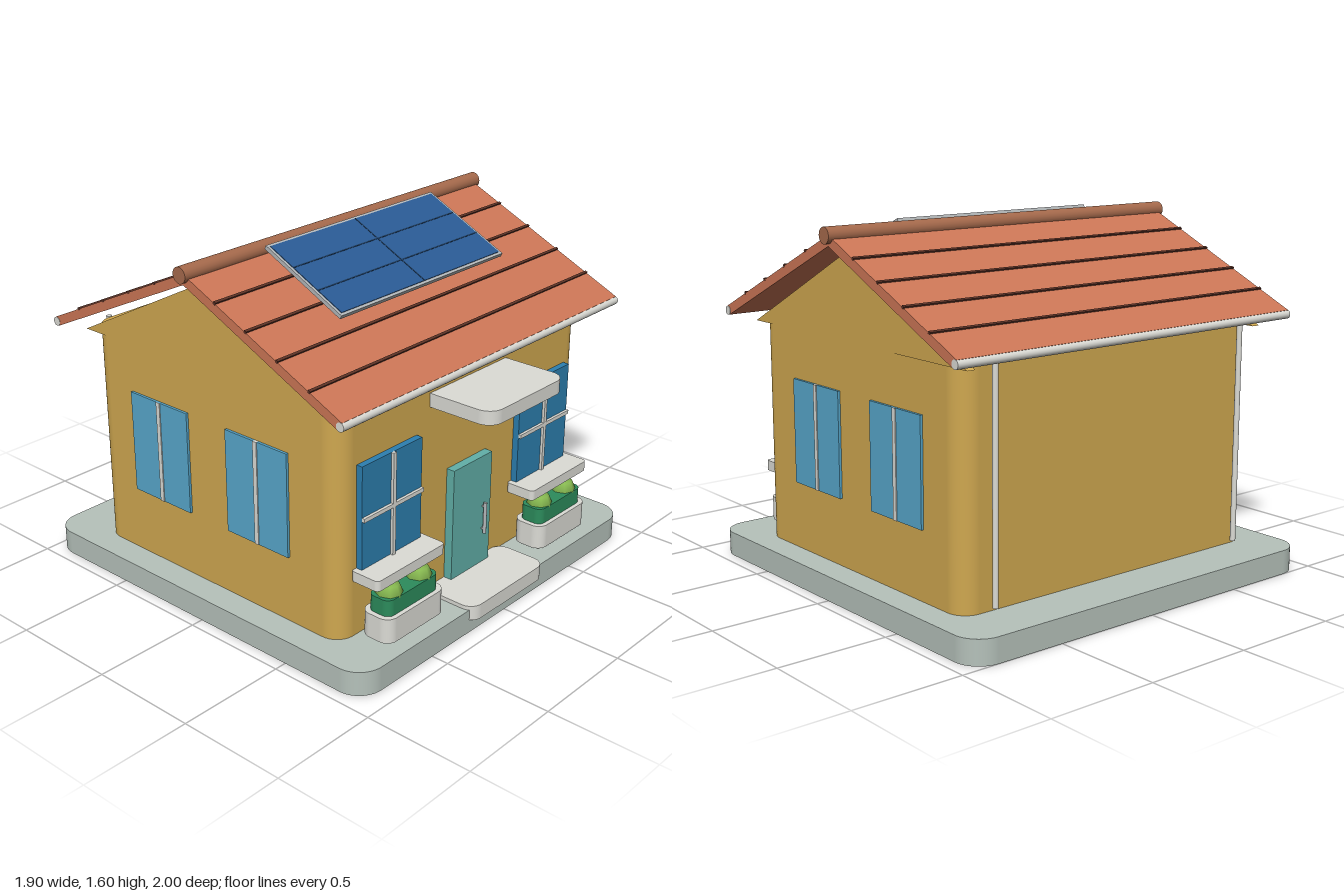
import * as THREE from 'three';

const paint = (color) => new THREE.MeshStandardMaterial({ color });
const M = {
  base: paint(0xb6c2bb), wall: paint(0xd0a850), roof: paint(0xcc7656), seam: paint(0x5c3226),
  ridge: paint(0xa66a4c), trim: paint(0xdcdcd6), glass: paint(0x2c7fb0), sideGlass: paint(0x58a8cc),
  door: paint(0x62b0a8), metal: paint(0xb4b8ba), cell: paint(0x2a5a94), line: paint(0x1c3c60),
  strut: paint(0x5c7c80), hedge: paint(0x2c8c5c), bush: paint(0x86b850),
};
const CZ = -0.04; // centre of the building in z

export function createModel() {
  const house = new THREE.Group();
  house.name = 'house';

  const add = (name, geo, mat, x, y, z, parent = house) => {
    const mesh = new THREE.Mesh(geo, mat);
    mesh.name = name;
    mesh.position.set(x, y, z);
    parent.add(mesh);
    return mesh;
  };
  const box = (name, mat, w, h, d, x, y, z, parent) =>
    add(name, new THREE.BoxGeometry(w, h, d), mat, x, y, z, parent);
  const rod = (name, mat, r, len, x, y, z, alongX = false, parent = house) => {
    const geo = new THREE.CylinderGeometry(r, r, len, 20);
    if (alongX) geo.rotateZ(Math.PI / 2);
    return add(name, geo, mat, x, y, z, parent);
  };
  // Upright block with rounded vertical corners; y is its bottom, rBack its back corner radius
  const slab = (name, mat, w, h, d, r, x, y, z, rBack = r, parent = house) => {
    const s = new THREE.Shape(), a = w / 2, b = d / 2, q = Math.PI / 2;
    s.absarc(a - r, -b + r, r, -q, 0);
    s.absarc(a - rBack, b - rBack, rBack, 0, q);
    s.absarc(-a + rBack, b - rBack, rBack, q, 2 * q);
    s.absarc(-a + r, -b + r, r, 2 * q, 3 * q);
    const geo = new THREE.ExtrudeGeometry(s, { depth: h, bevelEnabled: false, curveSegments: 8 });
    geo.rotateX(-q);
    const mesh = add(name, geo, mat, x, y, z, parent);
    smoothCorners(geo, a, b, r, rBack);
    return mesh;
  };

  // Ground slab and walls
  slab('base', M.base, 1.89, 0.11, 1.92, 0.12, 0, 0, CZ);
  slab('walls', M.wall, 1.64, 1.035, 1.45, 0.09, 0, 0.11, CZ);

  // Gable ends
  const tri = new THREE.Shape([
    new THREE.Vector2(-0.77, 0), new THREE.Vector2(0.77, 0), new THREE.Vector2(0, 0.393),
  ]);
  const gable = new THREE.ExtrudeGeometry(tri, { depth: 0.04, bevelEnabled: false });
  gable.translate(0, 0, -0.02);
  gable.rotateY(Math.PI / 2);
  for (const s of [-1, 1]) add('gable', gable, M.wall, s * 0.803, 1.107, CZ);

  // Two roof slopes with tile seams, gutters and ridge
  const run = 0.835, drop = 0.385, len = Math.hypot(run, drop), pitch = Math.atan2(drop, run);
  for (const s of [1, -1]) {
    const slope = new THREE.Group();
    slope.name = s > 0 ? 'frontRoof' : 'backRoof';
    slope.position.set(0, 1.54 - drop / 2, CZ + s * run / 2);
    slope.rotation.x = s * pitch;
    house.add(slope);
    box('roofSlab', M.roof, 1.86, 0.042, len, 0, 0, 0, slope);
    for (let i = 1; i < 5; i++)
      box('roofSeam', M.seam, 1.862, 0.012, 0.012, 0, 0.022, s * len * (i / 5 - 0.5), slope);
    rod('gutter', M.trim, 0.02, 1.864, 0, 1.155, CZ + s * run, true);
  }
  rod('ridge', M.ridge, 0.036, 1.9, 0, 1.562, CZ, true);

  // Rear downpipes
  for (const s of [-1, 1]) rod('downpipe', M.trim, 0.0125, 0.99, s * 0.69, 0.635, -0.815);

  // Solar panel on struts
  const solar = new THREE.Group();
  solar.name = 'solarPanel';
  solar.position.set(0, 1.492, 0.235);
  solar.rotation.x = 0.455;
  house.add(solar);
  box('panelFrame', M.metal, 1.07, 0.018, 0.462, 0, 0, 0, solar);
  box('panelCells', M.cell, 1.044, 0.006, 0.436, 0, 0.009, 0, solar);
  for (const z of [-0.075, 0.075]) box('cellLine', M.line, 1.04, 0.003, 0.006, 0, 0.012, z, solar);
  box('cellLine', M.line, 0.006, 0.003, 0.436, 0, 0.012, 0, solar);
  for (const s of [-1, 1])
    box('panelStrut', M.strut, 0.03, 0.13, 0.03, s * 0.4, 1.485, 0.11).rotation.x = 0.37;

  // Front windows, sills and planters
  for (const s of [-1, 1]) {
    const x = s * 0.527;
    box('frontWindow', M.glass, 0.372, 0.47, 0.04, x, 0.65, 0.695);
    box('windowBar', M.trim, 0.018, 0.47, 0.02, x, 0.65, 0.718);
    box('windowBar', M.trim, 0.372, 0.018, 0.02, x, 0.65, 0.718);
    slab('windowSill', M.trim, 0.43, 0.047, 0.145, 0.02, x, 0.375, 0.753);
    slab('planter', M.trim, 0.372, 0.112, 0.155, 0.05, x, 0.125, 0.782);
    slab('hedge', M.hedge, 0.326, 0.075, 0.115, 0.035, x, 0.236, 0.782);
    for (const t of [-1, 1])
      add('bush', new THREE.SphereGeometry(0.06, 8, 4), M.bush, x + t * 0.094, 0.308, 0.782);
  }

  // Side windows
  for (const s of [-1, 1]) for (const z of [0.24, -0.345]) {
    box('sideWindow', M.sideGlass, 0.03, 0.472, 0.352, s * 0.817, 0.652, z);
    box('sideWindowBar', M.trim, 0.03, 0.472, 0.022, s * 0.821, 0.652, z);
  }

  // Door, handle, step and canopy
  box('door', M.door, 0.266, 0.53, 0.05, 0, 0.39, 0.7);
  rod('doorHandle', M.metal, 0.008, 0.15, 0.078, 0.355, 0.74);
  for (const y of [0.3, 0.41]) box('handleMount', M.metal, 0.008, 0.008, 0.02, 0.078, y, 0.73);
  slab('doorStep', M.trim, 0.53, 0.068, 0.26, 0.06, 0, 0.06, 0.815);
  slab('canopy', M.trim, 0.52, 0.062, 0.34, 0.07, 0, 0.983, 0.83, 0.01);
  return house;
}

// Gives the rounded vertical corners smooth normals
function smoothCorners(geo, a, b, r, rBack) {
  const p = geo.attributes.position, n = geo.attributes.normal;
  for (let i = 0; i < p.count; i++) {
    if (Math.abs(n.getY(i)) > 0.5) continue;
    const x = p.getX(i), z = p.getZ(i), c = z > 0 ? r : rBack;
    const dx = Math.sign(x) * Math.max(0, Math.abs(x) - (a - c));
    const dz = Math.sign(z) * Math.max(0, Math.abs(z) - (b - c));
    const l = Math.hypot(dx, dz);
    if (l > 1e-5) n.setXYZ(i, dx / l, 0, dz / l);
  }
}
